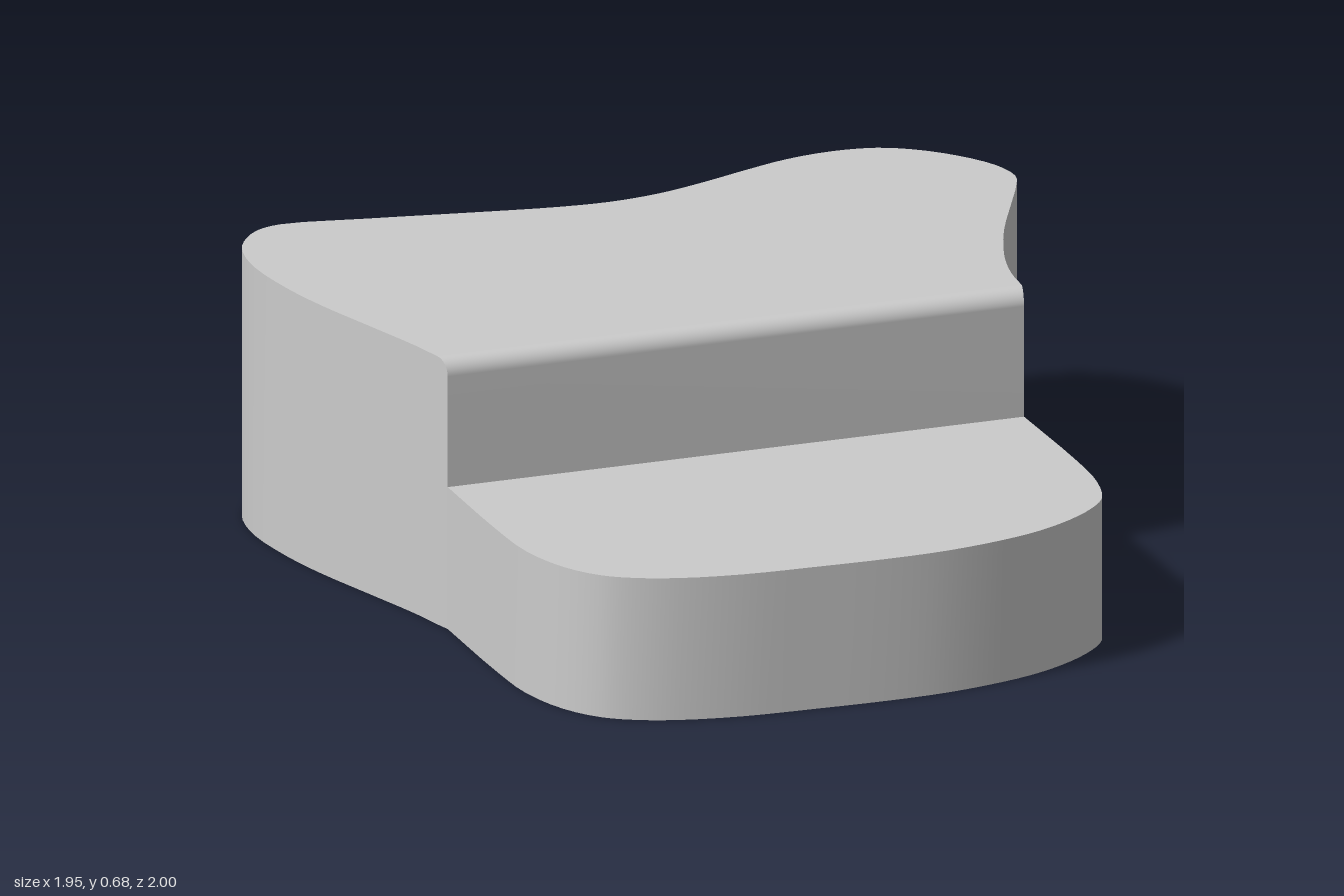
import * as THREE from 'three';

const TOP = 0.68, SEAT = 0.36, R = 0.04;
const material = new THREE.MeshStandardMaterial({ color: 0xcccccc, side: THREE.DoubleSide });

// Outline points as [x, z], counter-clockwise seen from above
const REAR = [
  [0.69, 0.095], [0.70, 0.0], [0.73, -0.12], [0.80, -0.3], [0.89, -0.48], [0.95, -0.6],
  [0.975, -0.67], [0.96, -0.76], [0.90, -0.86], [0.82, -0.94], [0.74, -0.985], [0.63, -1.0],
  [0.51, -0.985], [0.40, -0.95], [0.25, -0.895], [0.13, -0.86], [0, -0.845], [-0.13, -0.855],
  [-0.3, -0.885], [-0.6, -0.945], [-0.8, -0.98], [-0.87, -0.957], [-0.93, -0.89],
  [-0.96, -0.82], [-0.975, -0.7], [-0.96, -0.53], [-0.93, -0.38], [-0.88, -0.2],
  [-0.83, -0.02], [-0.81, 0.075],
];
const FRONT = [
  [-0.80, 0.115], [-0.807, 0.45], [-0.80, 0.63], [-0.76, 0.77], [-0.70, 0.86], [-0.63, 0.91],
  [-0.53, 0.95], [-0.38, 0.98], [-0.2, 0.992], [0, 1.0], [0.15, 0.995], [0.3, 0.97],
  [0.4, 0.94], [0.5, 0.89], [0.58, 0.83], [0.63, 0.77], [0.665, 0.65], [0.677, 0.5],
  [0.68, 0.135],
];

// Smooth curve through [x, z] points, lifted to height y
function smooth(points, y) {
  const curve = new THREE.CatmullRomCurve3(points.map(([x, z]) => new THREE.Vector3(x, y, z)));
  return curve.getPoints((points.length - 1) * 3);
}

// Surface between two rows of points; the outside is where b lies above a, running rightwards
function strip(a, b) {
  const n = a.length, index = [];
  for (let i = 0; i < n - 1; i++) index.push(i, i + 1, n + i + 1, i, n + i + 1, n + i);
  const geometry = new THREE.BufferGeometry().setFromPoints([...a, ...b]);
  geometry.setIndex(index);
  geometry.computeVertexNormals();
  return geometry;
}

// Flat horizontal face filling an outline
function cover(points) {
  const shape = new THREE.Shape(points.map((p) => new THREE.Vector2(p.x, -p.z)));
  return new THREE.ShapeGeometry(shape).rotateX(-Math.PI / 2).translate(0, points[0].y, 0);
}

// Rounded upper edge of the riser at one side, from front to back
function roundedEdge([x0, z0], [x1, z1]) {
  return Array.from({ length: 9 }, (_, i) => {
    const a = (i / 8) * Math.PI / 2, t = 1 - Math.cos(a);
    return new THREE.Vector3(x0 + (x1 - x0) * t, TOP - R + R * Math.sin(a), z0 + (z1 - z0) * t);
  });
}

export function createModel() {
  const group = new THREE.Group();
  const add = (name, geometry) => {
    const mesh = new THREE.Mesh(geometry, material);
    mesh.name = name;
    group.add(mesh);
  };
  const toGround = (points) => points.map((p) => new THREE.Vector3(p.x, 0, p.z));

  const rear = smooth(REAR, TOP), front = smooth(FRONT, SEAT);
  const right = roundedEdge(FRONT[FRONT.length - 1], REAR[0]);
  const left = roundedEdge(FRONT[0], REAR[REAR.length - 1]);

  // Horizontal faces
  add('upperDeck', cover(rear));
  add('lowerStep', cover(front));

  // Outer walls, open at the bottom
  const rearRim = [...right.slice(0, -1), ...rear, ...left.slice(0, -1).reverse()];
  add('rearWall', strip(toGround(rearRim), rearRim));
  add('frontWall', strip(toGround(front), front));

  // Riser between the two levels, rolled over at the top
  const foot = (p) => new THREE.Vector3(p.x, SEAT, p.z);
  add('riser', strip([foot(right[0]), ...right], [foot(left[0]), ...left]));

  return group;
}
